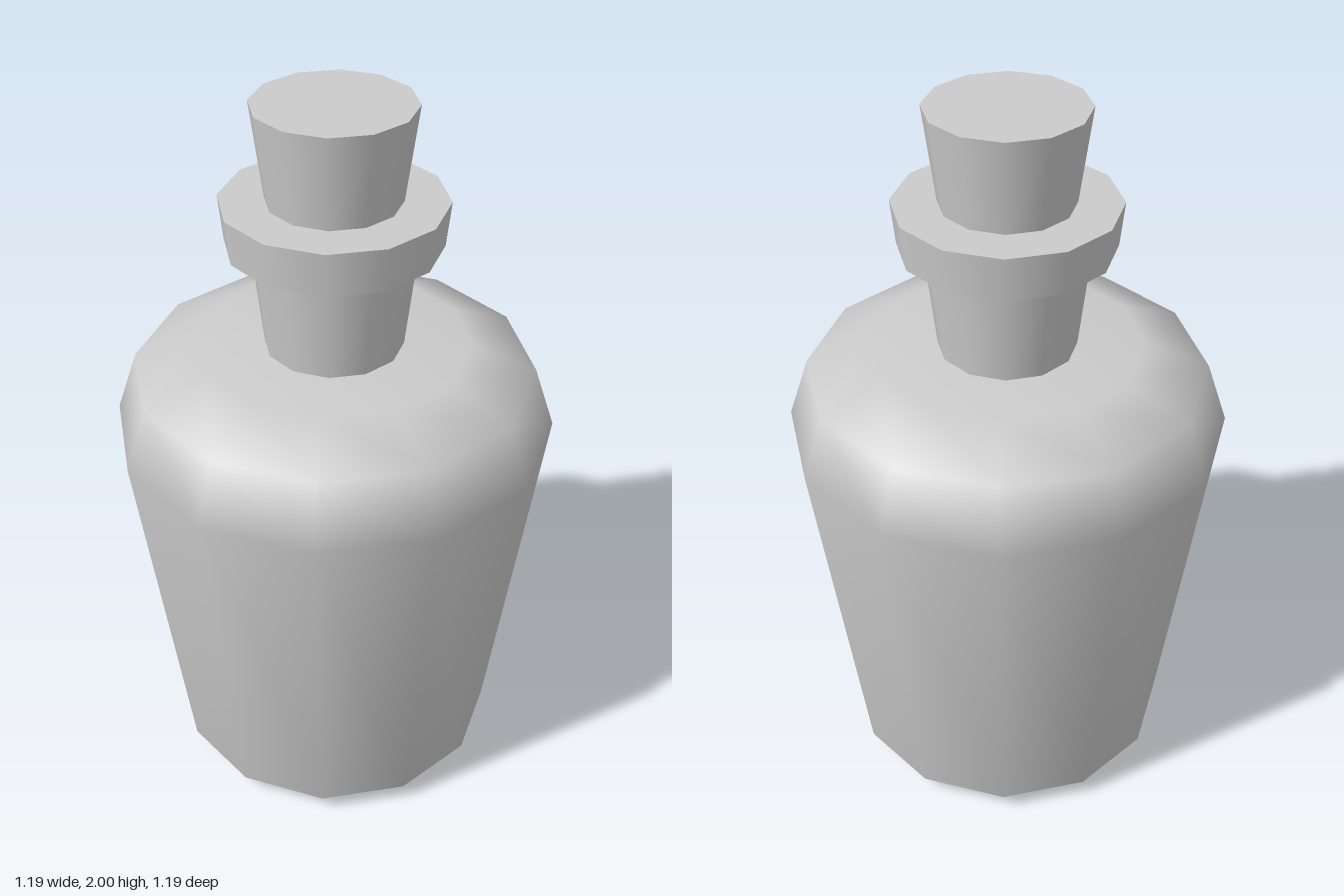
import * as THREE from 'three';

const SIDES = 12;

export function createModel() {
  const group = new THREE.Group();
  const material = new THREE.MeshStandardMaterial({ color: 0xcccccc });

  const add = (name, geometry, y = 0) => {
    const mesh = new THREE.Mesh(geometry, material);
    mesh.name = name;
    mesh.position.y = y;
    group.add(mesh);
  };

  // Capped, tapered ring section between two heights
  const taper = (name, rBottom, rTop, y0, y1) =>
    add(name, new THREE.CylinderGeometry(rTop, rBottom, y1 - y0, SIDES), (y0 + y1) / 2);

  // Smooth tapered body with rounded shoulder, closed on top
  const profile = [
    [0.38, 0], [0.465, 0.06], [0.595, 1.1], [0.537, 1.27], [0.365, 1.34], [0, 1.34],
  ].map(([r, y]) => new THREE.Vector2(r, y));
  add('body', new THREE.LatheGeometry(profile, SIDES));

  // Flat base with a sharp rim
  const base = new THREE.CircleGeometry(0.38, SIDES);
  base.rotateX(Math.PI / 2);
  add('base', base);

  // Neck, lip and stopper
  taper('neck', 0.185, 0.217, 1.34, 1.63);
  taper('lip', 0.281, 0.293, 1.63, 1.75);
  taper('stopper', 0.175, 0.208, 1.75, 2);

  return group;
}
